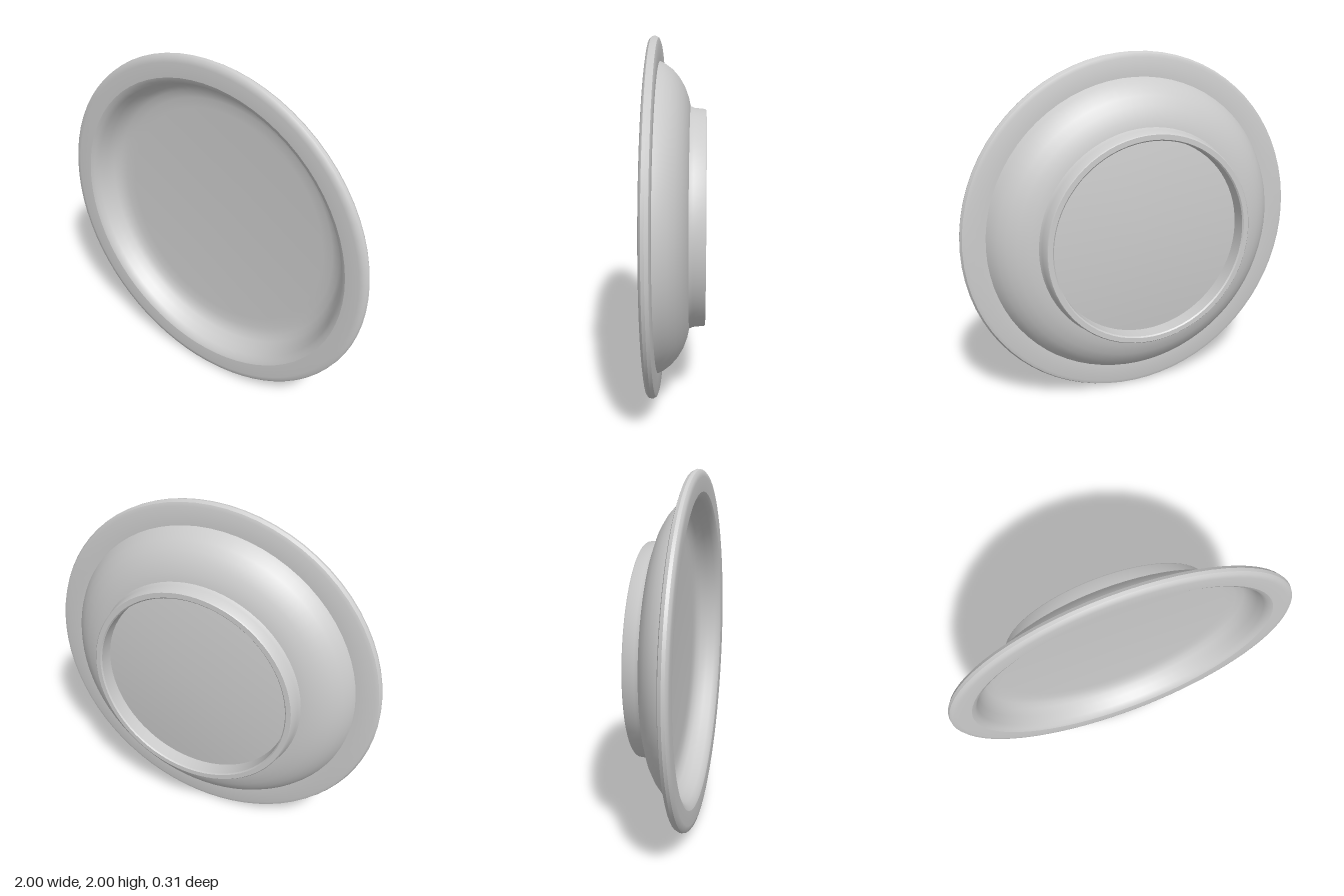
import * as THREE from 'three';
import { toCreasedNormals } from 'three/addons/utils/BufferGeometryUtils.js';

const material = new THREE.MeshStandardMaterial({ color: 0xcccccc, side: THREE.DoubleSide });

// Turns a [radius, depth] profile around the z axis
function turned(name, profile) {
  const points = profile.map(([r, z]) => new THREE.Vector2(r, z));
  const geometry = new THREE.LatheGeometry(points, 72).rotateX(Math.PI / 2);
  const mesh = new THREE.Mesh(toCreasedNormals(geometry, Math.PI / 5), material);
  mesh.name = name;
  mesh.position.y = 1;
  return mesh;
}

export function createModel() {
  const plate = new THREE.Group();
  plate.name = 'plate';

  // Rounded underside of the bowl, out to the rim
  plate.add(turned('underside', [
    [0, -0.07], [0.61, -0.07], [0.67, -0.057], [0.73, -0.035],
    [0.78, -0.005], [0.82, 0.03], [0.85, 0.07], [0.865, 0.1],
  ]));

  // Flat rim with a rounded edge
  plate.add(turned('rim', [
    [0.865, 0.1], [0.97, 0.098], [0.99, 0.105], [1, 0.123],
    [0.997, 0.14], [0.985, 0.151], [0.96, 0.155], [0.88, 0.152],
  ]));

  // Sunken front: steep wall with a fillet into a flat floor
  plate.add(turned('well', [
    [0.88, 0.152], [0.858, 0.142], [0.84, 0.118], [0.82, 0.075],
    [0.795, 0.035], [0.765, 0.012], [0.72, 0.001], [0.66, -0.003], [0, -0.003],
  ]));

  // Foot ring on the back
  plate.add(turned('footRing', [
    [0.56, -0.07], [0.565, -0.148], [0.572, -0.155], [0.6, -0.155],
    [0.606, -0.148], [0.612, -0.09], [0.622, -0.066],
  ].map(([r, z]) => [r, z])));

  return plate;
}
